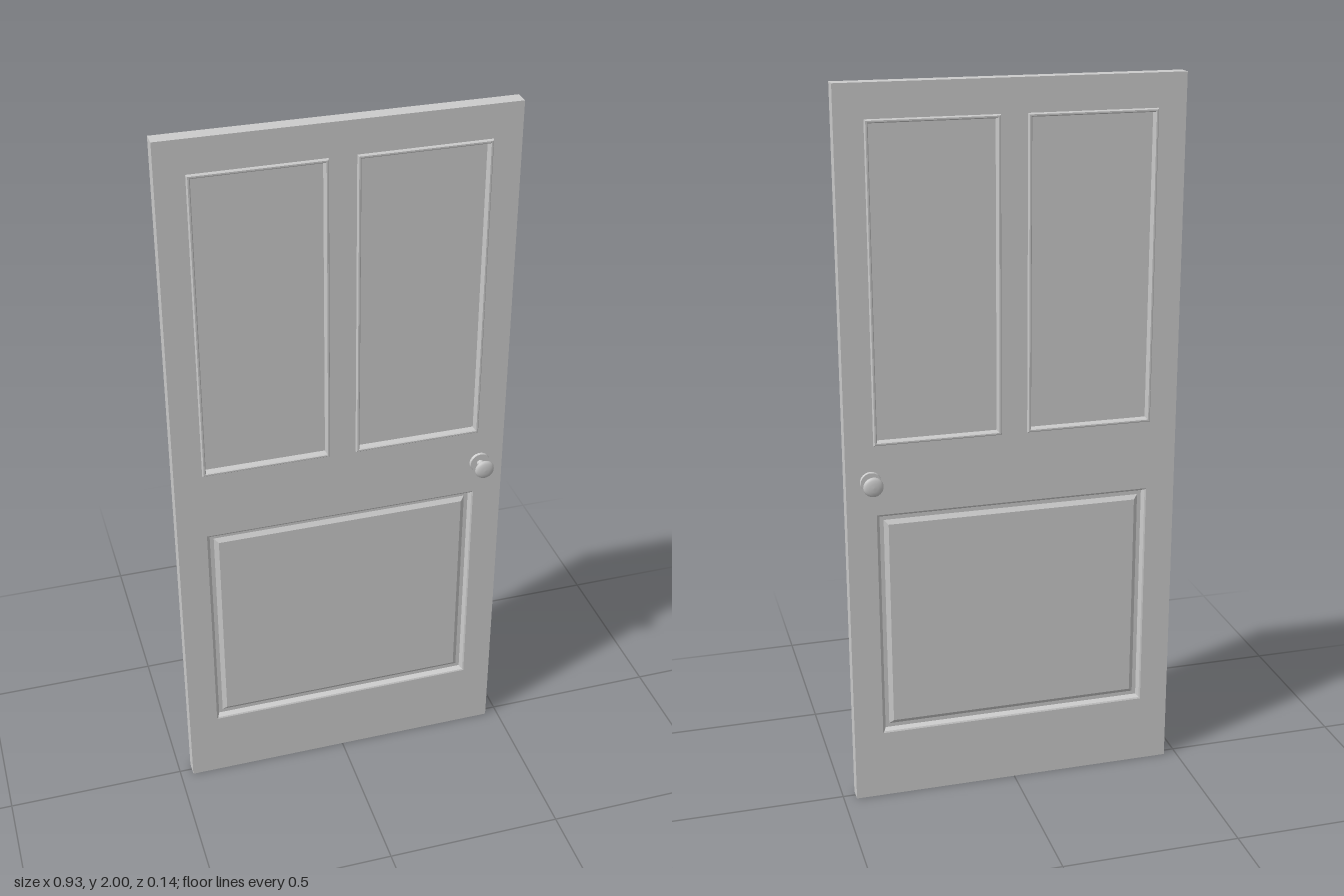
import * as THREE from 'three';

const HALF = 0.021; // half the door thickness
const material = new THREE.MeshStandardMaterial({ color: 0xcccccc });

// Profiles as [inset from the opening's edge, z]
const moulded = [[0, HALF], [0.0005, 0.0255], [0.003, 0.0285], [0.007, 0.0285], [0.0095, 0.026], [0.01, 0.008]];
const fielded = [[0, HALF], [0.004, 0.019], [0.01, 0.006], [0.021, 0.006], [0.033, 0.0145]];

const openings = [
  { name: 'upperRightPanel', x: -0.2115, y: 1.483, w: 0.351, h: 0.854, profile: moulded },
  { name: 'upperLeftPanel', x: 0.2115, y: 1.483, w: 0.351, h: 0.854, profile: moulded },
  { name: 'lowerPanel', x: 0, y: 0.528, w: 0.766, h: 0.66, profile: fielded },
];

function addMesh(parent, name, geometry) {
  const mesh = new THREE.Mesh(geometry, material);
  mesh.name = name;
  parent.add(mesh);
  return mesh;
}

function rectangle(target, x, y, w, h) {
  target.moveTo(x - w / 2, y - h / 2);
  target.lineTo(x + w / 2, y - h / 2);
  target.lineTo(x + w / 2, y + h / 2);
  target.lineTo(x - w / 2, y + h / 2);
  target.closePath();
  return target;
}

// Mitred rectangular rings following a profile, closed by a flat field
function panelGeometry(w, h, profile) {
  const loops = profile.map(([inset, z]) => {
    const a = w / 2 - inset, b = h / 2 - inset;
    return [[-a, -b, z], [a, -b, z], [a, b, z], [-a, b, z]];
  });
  const points = [];
  const quad = (a, b, c, d) => points.push(...a, ...b, ...c, ...a, ...c, ...d);
  for (let i = 0; i + 1 < loops.length; i++) {
    for (let j = 0; j < 4; j++) {
      const k = (j + 1) % 4;
      quad(loops[i][j], loops[i][k], loops[i + 1][k], loops[i + 1][j]);
    }
  }
  quad(...loops[loops.length - 1]);
  const geometry = new THREE.BufferGeometry();
  geometry.setAttribute('position', new THREE.Float32BufferAttribute(points, 3));
  geometry.computeVertexNormals();
  return geometry;
}

// Knob on its stem, turned around z and starting at the door's face
function knobGeometry() {
  const outline = [[0.0105, 0.025], [0.0095, 0.034], [0.0095, 0.046], [0.012, 0.0525], [0.019, 0.0555],
    [0.025, 0.0575], [0.0275, 0.0615], [0.026, 0.0655], [0.02, 0.0685], [0.011, 0.0705], [0, 0.071]];
  return new THREE.LatheGeometry(outline.map(([r, z]) => new THREE.Vector2(r, z)), 32).rotateX(Math.PI / 2);
}

export function createModel() {
  const door = new THREE.Group();
  door.name = 'door';

  // Slab with the three panel openings
  const outline = rectangle(new THREE.Shape(), 0, 1, 0.928, 2);
  for (const o of openings) outline.holes.push(rectangle(new THREE.Path(), o.x, o.y, o.w, o.h));
  const slab = new THREE.ExtrudeGeometry(outline, { depth: HALF * 2, bevelEnabled: false });
  addMesh(door, 'doorFrame', slab.translate(0, 0, -HALF));

  // Panels, knob and rosette on both faces
  for (const [side, turn] of [['front', 0], ['back', Math.PI]]) {
    for (const o of openings) {
      const panel = addMesh(door, `${side} ${o.name}`, panelGeometry(o.w, o.h, o.profile));
      panel.position.set(o.x, o.y, 0);
      panel.rotation.y = turn;
    }
    const handle = new THREE.Group();
    handle.name = `${side} handle`;
    handle.position.set(0.397, 0.955, 0);
    handle.rotation.y = turn;
    const rosette = new THREE.CylinderGeometry(0.0275, 0.029, 0.007, 32).rotateX(Math.PI / 2);
    addMesh(handle, 'rosette', rosette.translate(0, 0, HALF + 0.0035));
    addMesh(handle, 'knob', knobGeometry());
    door.add(handle);
  }
  return door;
}
